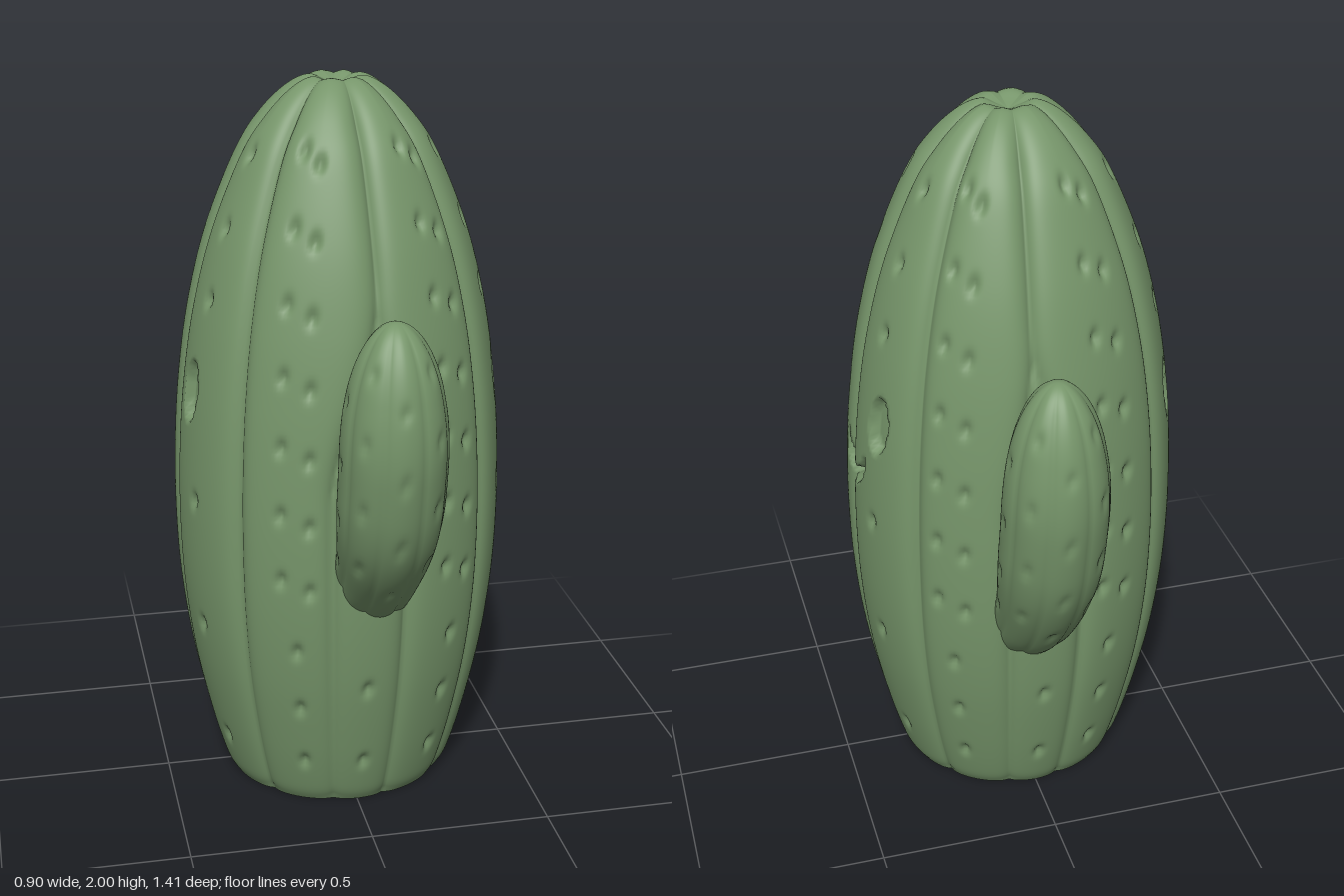
import * as THREE from 'three';

const TAU = Math.PI * 2;
const rad = THREE.MathUtils.degToRad;
const smooth = THREE.MathUtils.smoothstep;
const wrap = (a) => a - TAU * Math.round(a / TAU);

// Closed tube of rings: point(angle, row) gives each vertex
function ringSurface(sides, rows, point) {
  const pos = [], index = [];
  for (let j = 0; j <= rows; j++) {
    for (let i = 0; i < sides; i++) pos.push(...point((i / sides) * TAU, j));
  }
  for (let j = 0; j < rows; j++) {
    for (let i = 0; i < sides; i++) {
      const a = j * sides + i, b = j * sides + ((i + 1) % sides);
      index.push(a, a + sides, b, b, a + sides, b + sides);
    }
  }
  const geo = new THREE.BufferGeometry();
  geo.setAttribute('position', new THREE.Float32BufferAttribute(pos, 3));
  geo.setIndex(index);
  geo.computeVertexNormals();
  return geo;
}

// Small oval pit at offset (du, dv) from its middle
const pit = (du, dv) => 0.016 * Math.exp(-((du / 0.013) ** 2) - (dv / 0.02) ** 2);

// Grooves between the ribs; the front and back ones split around the rib below each arm
function grooveAngles(y) {
  const split = 13.5 * (1 - smooth(y, 0.95, 1.5));
  const mid = 84 + 5 * (1 - smooth(y, 0.9, 1.6));
  return [0, 38, mid - split, mid + split, 137, 180, 220, 360 - mid - split, 360 - mid + split, 319].map(rad);
}

// Spine pits: one column on the ribs with a face, two on the upper part of the others
function bodyPits() {
  const pits = [];
  const ribs = [19, 55, 115, 159, 200, 245, 305, 340];
  ribs.forEach((deg, k) => {
    const faceRib = k % 4 === 0 || k % 4 === 3;
    for (let n = 0; n < 10; n++) {
      const y = 0.15 + n * 0.185;
      if (faceRib && ((y < 1 && n % 2) || (y > 0.95 && y < 1.4))) continue;
      const spread = !faceRib && y > 0.65 ? 5 : 0;
      pits.push([rad(deg - spread), y]);
      if (spread) pits.push([rad(deg + spread), y + 0.03]);
    }
  });
  for (const deg of [89, 271]) for (const y of [0.15, 0.4]) pits.push([rad(deg), y]);
  return pits;
}

// Depth of the sunken eyes and smile
function faceDepth(x, y, z) {
  if (y < 0.9 || y > 1.35 || Math.abs(x) < 0.2) return 0;
  let depth = 0;
  for (const cz of [0.118, -0.168]) {
    const e = Math.hypot((z - cz) / 0.036, (y - 1.19) / 0.086);
    depth = Math.max(depth, 0.026 * (1 - smooth(e, 0.8, 1.02)));
  }
  if (x > 0) {
    const inside = 0.082 - Math.hypot(z + 0.03, y - 1.043);
    const below = Math.hypot(z + 0.03, y - 1.082) - 0.078;
    depth = Math.max(depth, 0.034 * smooth(Math.min(inside, below), -0.004, 0.006));
  }
  return depth;
}

function bodyGeometries() {
  const profile = new THREE.SplineCurve([
    [0.31, 0], [0.336, 0.05], [0.378, 0.2], [0.42, 0.4], [0.445, 0.6], [0.454, 0.8], [0.45, 1],
    [0.434, 1.2], [0.403, 1.4], [0.351, 1.6], [0.27, 1.8], [0.206, 1.9], [0.136, 1.97],
    [0.075, 2], [0.03, 1.985], [0, 1.97],
  ].map(([r, y]) => new THREE.Vector2(r, y)));
  const rows = 190, sides = 300;
  const pits = bodyPits();
  const rings = [];
  for (let j = 0; j <= rows; j++) {
    const p = profile.getPointAt(j / rows), t = profile.getTangentAt(j / rows);
    const fade = Math.min(1, p.x / 0.2);
    rings.push({
      p, t,
      depth: fade * (0.014 + 0.016 * smooth(p.y, 0, 0.9)),
      grooves: grooveAngles(p.y),
      pits: pits.filter((d) => Math.abs(d[1] - p.y) < 0.07),
    });
  }
  const point = (a, j) => {
    const { p, t, depth, grooves, pits: near } = rings[j];
    let arc = 1;
    for (const g of grooves) arc = Math.min(arc, Math.abs(wrap(a - g)) * p.x);
    let d = depth * Math.exp(-arc / 0.022);
    for (const [pa, py] of near) d += pit(wrap(a - pa) * p.x, p.y - py);
    d += faceDepth(p.x * Math.cos(a), p.y, p.x * Math.sin(a));
    // push inwards along the profile normal
    const r = Math.max(0, p.x - d * t.y);
    const y = j === 0 ? 0 : Math.max(0, p.y + d * t.x);
    return [r * Math.cos(a), y, r * Math.sin(a) * 0.965];
  };
  return {
    body: ringSurface(sides, rows, point),
    base: ringSurface(sides, 1, (a, j) => (j ? point(a, 0) : [0, 0, 0])),
  };
}

// Upturned arm on the +z (side 1) or -z (side -1) face
function armGeometry(side) {
  const drop = side < 0 ? 0.06 : 0;
  const path = new THREE.CatmullRomCurve3([
    [0.28, 0.65 - drop], [0.4, 0.76 - drop], [0.51, 0.92 - drop / 3], [0.562, 1.12], [0.57, 1.3], [0.568, 1.492],
  ].map(([z, y]) => new THREE.Vector3(0.033, y, z * side)));
  const length = path.getLength();
  const rows = 80, sides = 96, ribs = 8;
  const xAxis = new THREE.Vector3(1, 0, 0);
  const rings = [];
  for (let j = 0; j <= rows; j++) {
    const t = Math.sin((j / rows) * Math.PI / 2);
    const cap = Math.max(0, (t - 0.6) / 0.4);
    rings.push({
      t,
      r: (0.115 + 0.025 * smooth(t, 0.1, 0.5)) * Math.sqrt(Math.max(0, 1 - cap ** 2.3)),
      p: path.getPointAt(t),
      b: xAxis.clone().cross(path.getTangentAt(t)).normalize(),
    });
  }
  return ringSurface(sides, rows, (a, j) => {
    const { t, r, p, b } = rings[j];
    const rib = Math.round((a / TAU) * ribs);
    const offset = a - (rib / ribs) * TAU;
    const edge = (Math.PI / ribs - Math.abs(offset)) * r;
    let d = 0.007 * Math.exp(-edge / 0.018);
    const shift = (rib % 2) * 0.09;
    for (let k = 0; k < 4; k++) d += 0.5 * pit(offset * r, (t - 0.25 - shift - k * 0.18) * length);
    const q = Math.max(0, r - d * Math.min(1, r / 0.08));
    const c = Math.cos(a) * q, s = Math.sin(a) * q;
    return [p.x + c, p.y + b.y * s, p.z + b.z * s];
  });
}

export function createModel() {
  const group = new THREE.Group();
  group.name = 'cactus';
  const green = new THREE.MeshStandardMaterial({ color: 0x76956a });
  const add = (name, geo) => {
    const mesh = new THREE.Mesh(geo, green);
    mesh.name = name;
    group.add(mesh);
  };
  const { body, base } = bodyGeometries();
  add('ribbedBody', body);
  add('flatBase', base);
  add('frontArm', armGeometry(1));
  add('backArm', armGeometry(-1));
  return group;
}
